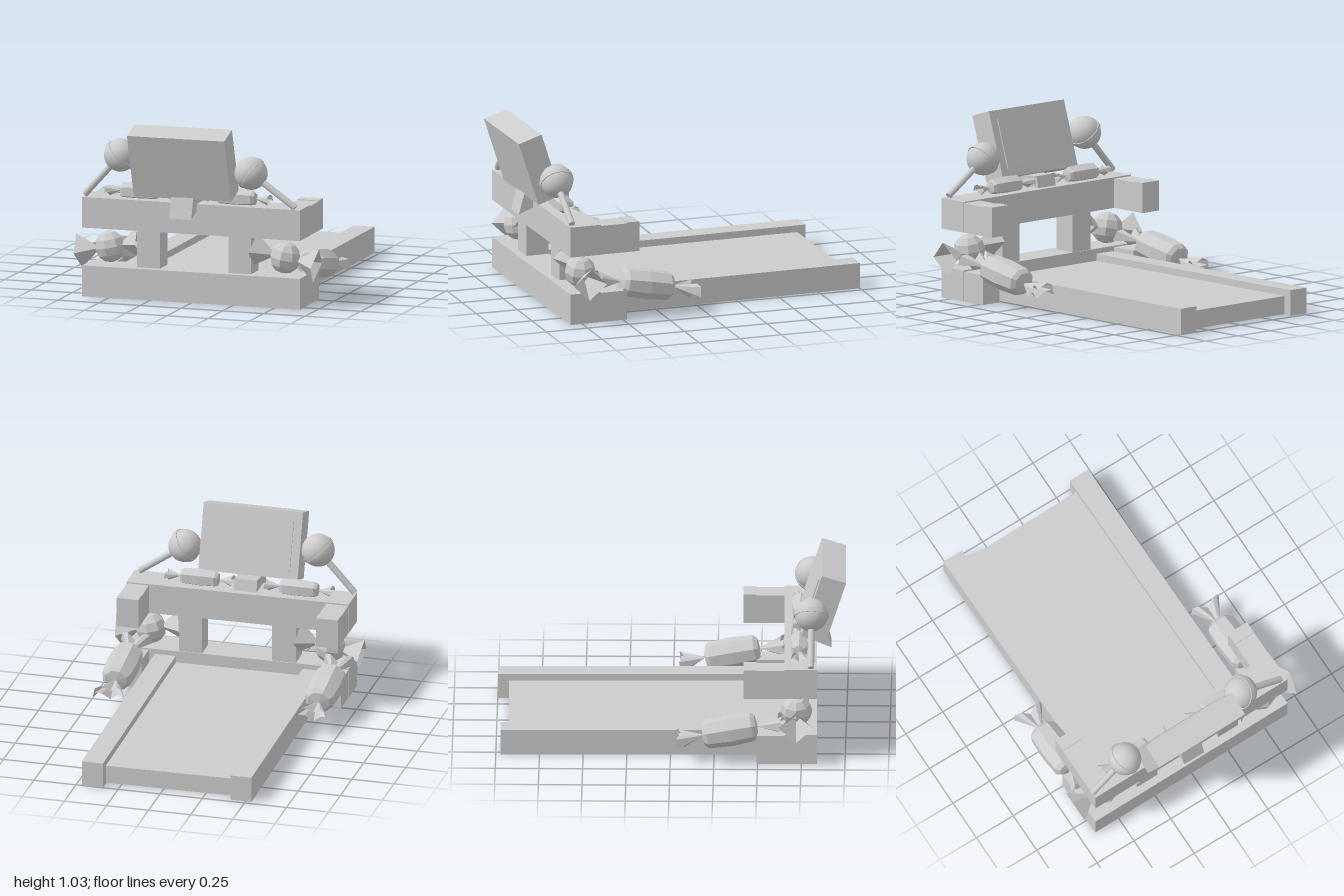
import * as THREE from 'three';

const grey = new THREE.MeshStandardMaterial({ color: 0xcccccc, side: THREE.DoubleSide });
grey.name = 'plain grey';

function add(parent, name, geometry, x = 0, y = 0, z = 0) {
  const mesh = new THREE.Mesh(geometry, grey);
  mesh.name = name;
  mesh.position.set(x, y, z);
  parent.add(mesh);
  return mesh;
}

// Box given by its low and high limits
function block(parent, name, [x0, x1], [y0, y1], [z0, z1]) {
  return add(parent, name, new THREE.BoxGeometry(x1 - x0, y1 - y0, z1 - z0),
    (x0 + x1) / 2, (y0 + y1) / 2, (z0 + z1) / 2);
}

function faceted(geometry) {
  const flat = geometry.toNonIndexed();
  flat.computeVertexNormals();
  return flat;
}

// Open wrapper end flaring along +x, with a pleated rim
function wrapperEnd(radius, length, sides, flatten, pleat) {
  const g = new THREE.CylinderGeometry(radius, radius * 0.14, length, sides, 1, true);
  const p = g.attributes.position;
  for (let i = 0; i < p.count; i++) {
    const x = p.getX(i), z = p.getZ(i), a = Math.atan2(z, x);
    const rim = p.getY(i) > 0;
    const wave = rim ? pleat * radius * Math.cos(4 * a) : 0;
    const spread = rim ? (Math.abs(z) / radius - 0.5) * pleat * length : 0;
    p.setXYZ(i, x * flatten + wave, p.getY(i) + length / 2 + spread, z);
  }
  g.rotateZ(-Math.PI / 2);
  return faceted(g);
}

// Wrapped sweet lying along x
function sweet(parent, name, body, reach, end) {
  const group = new THREE.Group();
  group.name = name;
  add(group, 'sweetBody', body);
  for (const side of [1, -1]) {
    const tail = add(group, 'wrapperEnd', end, side * reach);
    if (side < 0) tail.rotation.y = Math.PI;
  }
  parent.add(group);
  return group;
}

function barrel(radius, length, sides) {
  const profile = [[0, -0.5], [0.72, -0.47], [0.95, -0.4], [1.04, 0], [0.95, 0.4], [0.72, 0.47], [0, 0.5]]
    .map(([r, t]) => new THREE.Vector2(r * radius, t * length));
  const g = new THREE.LatheGeometry(profile, sides);
  g.rotateZ(-Math.PI / 2);
  g.rotateX(Math.PI / sides);
  return faceted(g);
}

// Ball with a raised band, on a leaning stick
function lollipop(parent, name, [fx, fy], [bx, by], z) {
  const group = new THREE.Group();
  group.name = name;
  const length = Math.hypot(bx - fx, by - fy);
  add(group, 'stick', new THREE.CylinderGeometry(0.019, 0.019, length, 16), 0, length / 2);
  add(group, 'ball', new THREE.SphereGeometry(0.095, 32, 20), 0, length);
  add(group, 'band', new THREE.CylinderGeometry(0.099, 0.099, 0.025, 32), 0, length);
  group.position.set(fx, fy, z);
  group.rotation.z = -Math.atan2(bx - fx, by - fy);
  parent.add(group);
}

export function createModel() {
  const model = new THREE.Group();
  model.name = 'sweetTreadmill';

  // Frame, turned very slightly about the upright axis
  const frame = new THREE.Group();
  frame.name = 'frame';
  frame.rotation.y = 0.013;
  model.add(frame);
  block(frame, 'lowerBar', [-0.67, 0.645], [0, 0.18], [0.645, 0.83]);
  block(frame, 'upperBar', [-0.67, 0.645], [0.4, 0.578], [0.645, 0.83]);
  for (const [x0, x1] of [[-0.667, -0.537], [0.513, 0.643]]) {
    block(frame, 'lowerArm', [x0, x1], [0, 0.172], [0.485, 0.645]);
    block(frame, 'upperArm', [x0, x1], [0.4, 0.57], [0.485, 0.645]);
    block(frame, 'handleEnd', [x0, x1], [0.4, 0.575], [0.41, 0.485]);
  }
  for (const [x0, x1] of [[-0.355, -0.215], [0.2, 0.335]])
    block(frame, 'post', [x0, x1], [0.18, 0.4], [0.65, 0.785]);

  // Running deck and side rails
  block(frame, 'rightRail', [-0.522, -0.397], [0, 0.15], [-0.98, 0.645]);
  block(frame, 'leftRail', [0.353, 0.478], [0, 0.15], [-0.995, 0.645]);
  block(frame, 'runningBelt', [-0.397, 0.353], [0.005, 0.11], [-0.93, 0.645]);

  // Tilted monitor with a screen facing the runner
  const monitor = new THREE.Group();
  monitor.name = 'monitor';
  monitor.position.set(-0.037, 0.82, 0.87);
  monitor.rotation.set(0.31, 0.013, 0);
  model.add(monitor);
  add(monitor, 'casing', new THREE.BoxGeometry(0.588, 0.39, 0.145));
  add(monitor, 'screen', new THREE.BoxGeometry(0.49, 0.3, 0.008), 0, 0, -0.0755);

  // Wedge foot under the monitor, drawn in the side plane
  const foot = new THREE.Shape([[0.915, 0.5], [0.88, 0.63], [0.7, 0.645], [0.68, 0.565], [0.84, 0.53]]
    .map(([z, y]) => new THREE.Vector2(-z, y)));
  const footGeometry = new THREE.ExtrudeGeometry(foot, { depth: 0.135, bevelEnabled: false });
  footGeometry.rotateY(Math.PI / 2);
  add(model, 'monitorFoot', footGeometry, -0.105);

  // Lollipops beside the monitor
  lollipop(model, 'rightLollipop', [-0.655, 0.59], [-0.438, 0.83], 0.805);
  lollipop(model, 'leftLollipop', [0.62, 0.588], [0.352, 0.772], 0.8);

  // Small sweets lying on the upper bar
  const smallBody = barrel(0.052, 0.235, 6);
  const smallEnd = wrapperEnd(0.045, 0.075, 12, 0.5, 0.25);
  for (const x of [-0.345, 0.245])
    sweet(model, 'smallSweet', smallBody, 0.117, smallEnd).position.set(x, 0.612, 0.735);

  // Large sweets along the sides and round sweets at the front corners
  const largeBody = barrel(0.094, 0.325, 8);
  largeBody.scale(1, 0.92, 1);
  const largeEnd = wrapperEnd(0.095, 0.125, 12, 0.3, 0.3);
  const roundBody = faceted(new THREE.SphereGeometry(0.092, 8, 6));
  const roundEnd = wrapperEnd(0.1, 0.115, 4, 1, 0);
  for (const side of [1, -1]) {
    const large = sweet(model, 'largeSweet', largeBody, 0.165, largeEnd);
    large.position.set(side * 0.602 - 0.008, 0.185, 0.34);
    large.rotation.set(0, -Math.PI / 2, 0.18);
    const round = sweet(model, 'roundSweet', roundBody, 0.075, roundEnd);
    round.position.set(side * 0.532, 0.278, 0.72);
    round.rotation.z = -side * 0.19;
  }
  return model;
}
